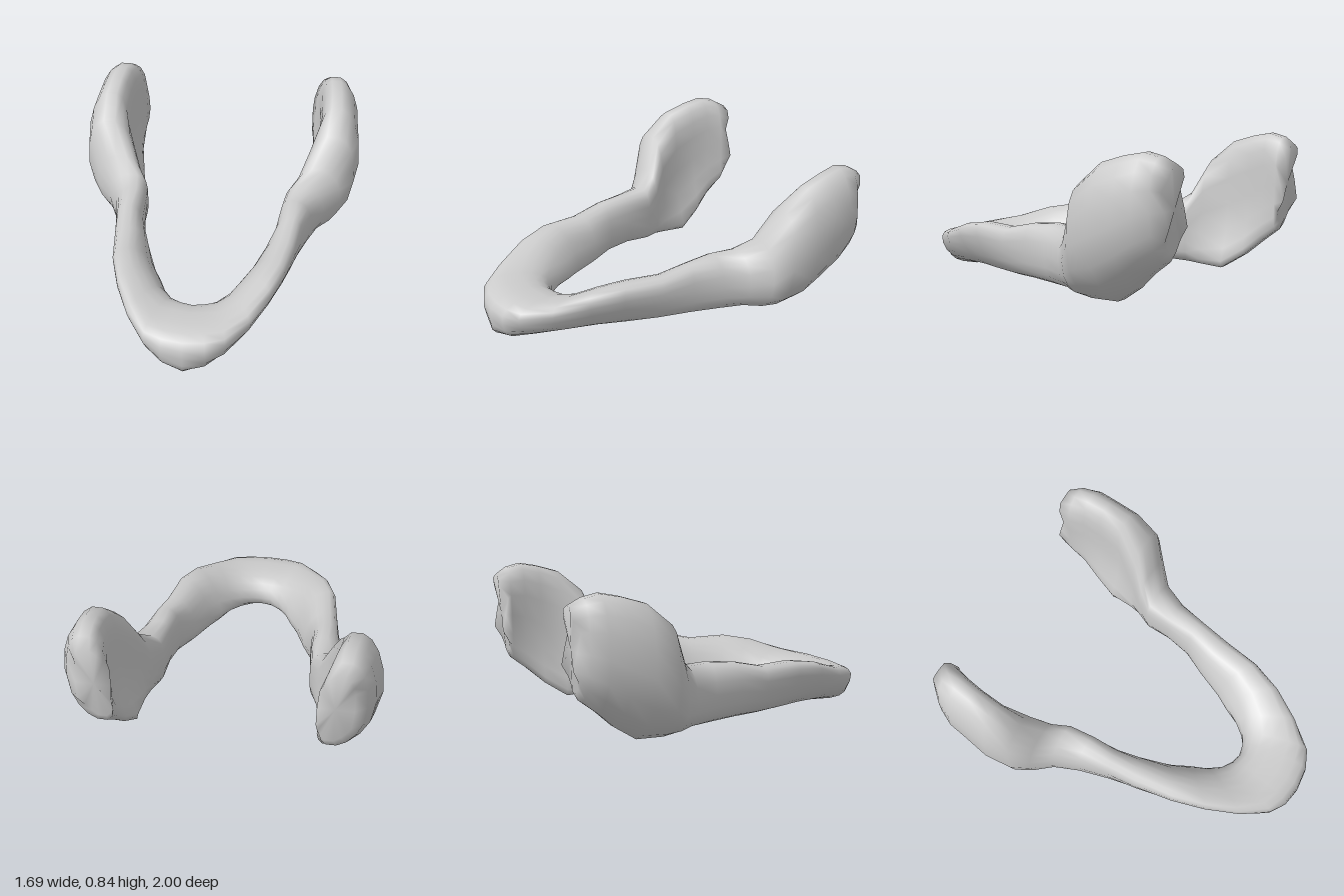
import * as THREE from 'three';

// Half of the jaw, chin to hinge. Each station:
// outer x, outer z, inner x, inner z, top y, bottom y, top shift, bottom shift (+ is outward)
const STATIONS = [
  [0.00, 1.00, 0.00, 0.60, 0.24, 0.00, -0.02, 0.10],
  [0.12, 0.985, 0.06, 0.585, 0.24, 0.015, -0.02, 0.06],
  [0.22, 0.93, 0.12, 0.55, 0.245, 0.04, 0.00, 0.00],
  [0.33, 0.78, 0.175, 0.48, 0.27, 0.06, 0.00, 0.00],
  [0.42, 0.60, 0.22, 0.39, 0.325, 0.065, 0.00, 0.00],
  [0.48, 0.42, 0.27, 0.30, 0.355, 0.065, 0.00, 0.00],
  [0.52, 0.20, 0.33, 0.14, 0.35, 0.07, 0.00, 0.00],
  [0.55, 0.02, 0.385, 0.00, 0.39, 0.08, 0.00, 0.00],
  [0.595, -0.15, 0.405, -0.15, 0.405, 0.08, -0.02, 0.00],
  [0.66, -0.29, 0.42, -0.30, 0.405, 0.07, -0.03, -0.03],
  [0.75, -0.38, 0.47, -0.39, 0.48, 0.06, -0.01, -0.06],
  [0.82, -0.46, 0.52, -0.47, 0.67, 0.05, 0.01, -0.11],
  [0.845, -0.60, 0.59, -0.61, 0.79, 0.045, -0.03, -0.18],
  [0.83, -0.73, 0.59, -0.74, 0.83, 0.13, -0.03, -0.14],
  [0.82, -0.84, 0.58, -0.84, 0.85, 0.22, -0.03, -0.10],
  [0.78, -0.925, 0.55, -0.93, 0.83, 0.29, 0.00, -0.06],
  [0.72, -0.975, 0.53, -0.975, 0.79, 0.34, 0.02, -0.03],
];
const SIDES = 18;

// Rounded cross-section, bent towards its top and bottom edges
function ring([ox, oz, ix, iz, yt, yb, topShift, botShift], isEnd) {
  const width = Math.hypot(ox - ix, oz - iz);
  const soft = (t) => Math.sign(t) * Math.pow(Math.abs(t), 0.82);
  // Along the body the section slants: its top lies outward, its bottom inward
  const lean = 0.38 * Math.max(0, Math.cos((Math.PI * (oz - 0.5)) / 1.2));
  const points = [];
  for (let j = 0; j < SIDES; j++) {
    const a = (j / SIDES) * Math.PI * 2;
    const u = soft(Math.cos(a)), v = soft(Math.sin(a));
    const slanted = (u * (1 - lean) + v * lean) / Math.hypot(1 - lean, lean);
    const s = 0.5 + slanted / 2 + ((v > 0 ? topShift : botShift) * v * v) / width;
    const y = (yt + yb) / 2 + (v * (yt - yb)) / 2;
    // Notch in the rear edge between the hinge knob and the jaw angle
    const notch = isEnd ? 0.025 * Math.cos((Math.PI * (y - 0.63)) / 0.13) : 0;
    points.push(new THREE.Vector3(ix + (ox - ix) * s, y, iz + (oz - iz) * s + notch));
  }
  return points;
}

export function createModel() {
  const group = new THREE.Group();
  group.name = 'lowerJaw';

  // Mirror the half to get one run of rings from the right hinge to the left
  const half = STATIONS.map((s, i) => ring(s, i === STATIONS.length - 1));
  const mirrored = half.slice(1).reverse()
    .map((r) => r.map((p) => new THREE.Vector3(-p.x, p.y, p.z)));
  const rings = [...mirrored, ...half];

  const positions = rings.flat().flatMap((p) => [p.x, p.y, p.z]);
  const index = [];
  const last = rings.length - 1;
  for (let i = 0; i < last; i++) {
    for (let j = 0; j < SIDES; j++) {
      const k = (j + 1) % SIDES;
      const a = i * SIDES + j, b = i * SIDES + k;
      index.push(a, a + SIDES, b, b, a + SIDES, b + SIDES);
    }
  }

  // Close both rear ends
  for (const i of [0, last]) {
    const c = rings[i].reduce((sum, p) => sum.add(p), new THREE.Vector3()).divideScalar(SIDES);
    const centre = positions.length / 3;
    positions.push(c.x, c.y, c.z);
    for (let j = 0; j < SIDES; j++) {
      const a = i * SIDES + j, b = i * SIDES + ((j + 1) % SIDES);
      if (i === 0) index.push(centre, a, b);
      else index.push(centre, b, a);
    }
  }

  const geometry = new THREE.BufferGeometry();
  geometry.setAttribute('position', new THREE.Float32BufferAttribute(positions, 3));
  geometry.setIndex(index);
  geometry.computeVertexNormals();

  const jaw = new THREE.Mesh(geometry, new THREE.MeshStandardMaterial({ color: 0xcccccc }));
  jaw.name = 'jawBone';
  group.add(jaw);
  return group;
}
